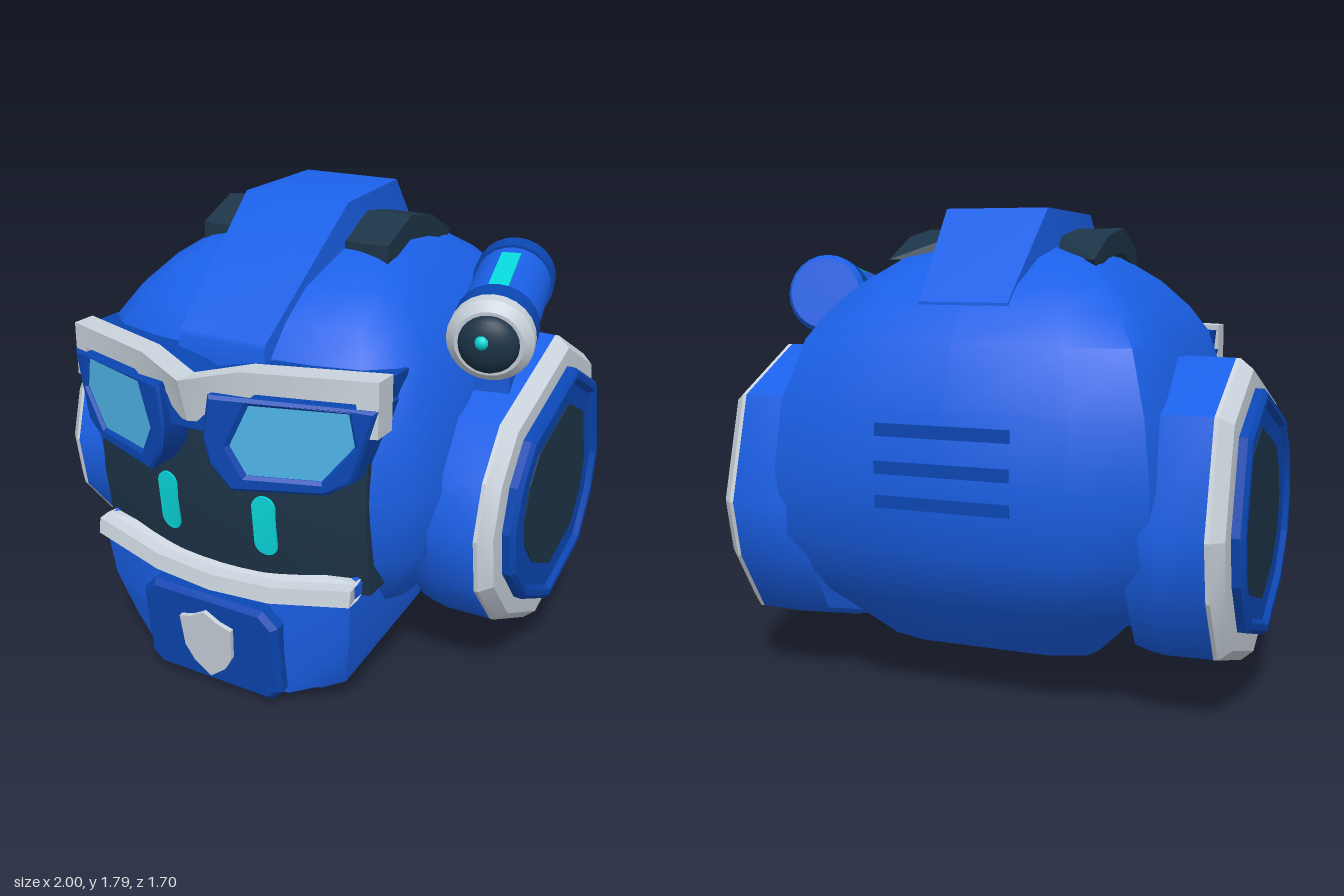
import * as THREE from 'three';
import { toCreasedNormals } from 'three/addons/utils/BufferGeometryUtils.js';

const mat = (name, color) => {
  const m = new THREE.MeshStandardMaterial({ color });
  m.name = name;
  return m;
};

// Skin over closed rings of [x, y, z], with fans closing both ends
function loft(rings, crease = 0.6) {
  const out = [];
  const n = rings[0].length;
  for (let j = 0; j < rings.length - 1; j++) {
    for (let i = 0; i < n; i++) {
      const k = (i + 1) % n;
      const a = rings[j][i], b = rings[j][k], c = rings[j + 1][k], d = rings[j + 1][i];
      out.push(...a, ...b, ...c, ...a, ...c, ...d);
    }
  }
  const cap = (ring, flip) => {
    const mid = [0, 1, 2].map(q => ring.reduce((s, p) => s + p[q], 0) / n);
    ring.forEach((p, i) => {
      const q = ring[(i + 1) % n];
      out.push(...mid, ...(flip ? q : p), ...(flip ? p : q));
    });
  };
  cap(rings[0], true);
  cap(rings[rings.length - 1], false);
  const g = new THREE.BufferGeometry();
  g.setAttribute('position', new THREE.Float32BufferAttribute(out, 3));
  return toCreasedNormals(g, crease);
}

// Completes a half ring (front centre, around +x, to the back) by mirroring in x
const fullRing = half => [...half, ...half.filter(p => p[0] > 0).reverse().map(([x, y, z]) => [-x, y, z])];

// Moves vertices by a rule and refreshes the normals
function warp(geo, rule) {
  const p = geo.attributes.position;
  for (let i = 0; i < p.count; i++) p.setXYZ(i, ...rule(p.getX(i), p.getY(i), p.getZ(i)));
  return toCreasedNormals(geo, 0.5);
}

// Mirror image in x, with the corner order put right
function mirrored(geo) {
  const g = geo.clone().scale(-1, 1, 1);
  for (const a of [g.attributes.position, g.attributes.normal]) {
    for (let i = 0; i < a.count; i += 3) {
      const first = [a.getX(i), a.getY(i), a.getZ(i)];
      a.setXYZ(i, a.getX(i + 1), a.getY(i + 1), a.getZ(i + 1));
      a.setXYZ(i + 1, ...first);
    }
  }
  return g;
}

const shapeOf = pts => new THREE.Shape(pts.map(p => new THREE.Vector2(...p)));
const extrude = (shape, depth, bevel = 0) => new THREE.ExtrudeGeometry(shape, {
  depth, bevelEnabled: bevel > 0, bevelSize: bevel, bevelThickness: bevel, bevelOffset: -bevel, bevelSegments: 1, curveSegments: 8,
});

export function createModel() {
  const model = new THREE.Group();
  const blue = mat('blue', 0x1a60e8), navy = mat('dark blue', 0x0a46b2), silver = mat('silver', 0xcad3dc);
  const dark = mat('charcoal', 0x1d3448), cyan = mat('cyan', 0x08d8dc), glass = mat('glass blue', 0x4fb2e6);
  const add = (name, geo, material, parent = model) => {
    const m = new THREE.Mesh(geo, material);
    m.name = name;
    parent.add(m);
    return m;
  };
  const addPair = (name, geo, material) => {
    add(name + 'Left', geo, material);
    add(name + 'Right', mirrored(geo), material);
  };

  // Head shell: one rounded outline, resized at each height [y, half width, front z, back z]
  const outline = [[0, 1], [0.25, 0.99], [0.5, 0.96], [0.76, 0.89], [0.9, 0.77], [0.97, 0.6], [1, 0.3],
    [1, -0.3], [0.98, -0.7], [0.92, -0.88], [0.6, -1], [0, -1]];
  const rows = [[0.17, 0.42, 0.3, -0.48], [0.38, 0.62, 0.5, -0.7], [0.6, 0.75, 0.6, -0.82], [0.85, 0.77, 0.64, -0.85],
    [1.1, 0.74, 0.63, -0.83], [1.32, 0.67, 0.56, -0.75], [1.42, 0.6, 0.48, -0.68], [1.52, 0.5, 0.36, -0.58],
    [1.61, 0.38, 0.14, -0.43], [1.65, 0.22, 0, -0.3]];
  add('headShell', loft(rows.map(([y, w, f, b]) => fullRing(outline.map(([u, v]) =>
    [u * w, y, (f + b) / 2 + v * (f - b) / 2]))), 0.7), blue);

  // Curved visor and the two light bars on it
  const onVisor = (x, y, z) => [x, y, z + 0.665 - 0.27 * x * x - 0.15 * Math.max(0, 0.75 - y)];
  add('visor', warp(new THREE.BoxGeometry(1.16, 0.75, 0.12, 14, 6, 1).translate(0, 0.86, -0.06), onVisor), dark);
  const bar = new THREE.Shape();
  bar.absarc(0, 0.075, 0.045, 0, Math.PI).absarc(0, -0.075, 0.045, Math.PI, Math.PI * 2);
  addPair('eyeBar', warp(extrude(bar, 0.02).translate(0.21, 0.715, -0.012), onVisor), cyan);

  // Chin guard, its trim, plate and shield
  add('chinGuard', loft([
    [[0, 0.2, -0.05], [0.3, 0.2, -0.05], [0.37, 0.2, -0.05], [0.45, 0.2, -0.06]],
    [[0, 0.05, 0.32], [0.3, 0.05, 0.32], [0.39, 0.06, 0.31], [0.46, 0.19, 0]],
    [[0, 0, 0.52], [0.3, 0, 0.52], [0.37, 0.01, 0.51], [0.47, 0.18, 0.02]],
    [[0, 0.04, 0.66], [0.3, 0.04, 0.64], [0.49, 0.1, 0.54], [0.54, 0.24, 0.03]],
    [[0, 0.25, 0.69], [0.3, 0.25, 0.67], [0.53, 0.3, 0.6], [0.57, 0.36, 0.05]],
    [[0, 0.45, 0.69], [0.28, 0.46, 0.675], [0.55, 0.54, 0.63], [0.59, 0.57, 0.05]],
    [[0, 0.46, 0.5], [0.28, 0.47, 0.5], [0.54, 0.57, 0.53], [0.55, 0.57, 0.05]],
  ].map(fullRing), 0.4), blue);
  const trimRow = (dy, dz) => fullRing([[0, 0.425 + dy, 0.71 + dz], [0.25, 0.435 + dy, 0.695 + dz],
    [0.56, 0.49 + dy, 0.655 + dz], [0.55, 0.49 + dy, 0.6 + dz], [0.5, 0.49 + dy, 0.45]]);
  add('chinTrim', loft([trimRow(0, -0.06), trimRow(0, 0), trimRow(0.06, -0.01), trimRow(0.065, -0.06)], 0.3), silver);

  const chinPlate = new THREE.Group();
  chinPlate.name = 'chinPlate';
  chinPlate.position.set(0, 0.22, 0.645);
  chinPlate.rotation.x = 0.12;
  model.add(chinPlate);
  add('plate', extrude(shapeOf([[-0.25, -0.2], [0.25, -0.2], [0.3, -0.15], [0.3, 0.14], [0.24, 0.2], [-0.24, 0.2],
    [-0.3, 0.14], [-0.3, -0.15]]), 0.05, 0.02), navy, chinPlate);
  add('shield', extrude(shapeOf([[0, -0.155], [0.07, -0.1], [0.105, -0.04], [0.115, 0.09], [0.06, 0.105], [0, 0.14],
    [-0.06, 0.105], [-0.115, 0.09], [-0.105, -0.04], [-0.07, -0.1]]), 0.02), silver, chinPlate).position.z = 0.068;

  // Swept-back goggles and brow; the brow's middle leans back at its lower edge
  const sweep = front => (x, y, z) => [x, y, z + front - 0.36 * Math.abs(x)];
  const lens = [[0.55, 1.215], [0.23, 1.22], [0.165, 1.07], [0.22, 0.965], [0.465, 0.965], [0.57, 1.1]];
  const frame = shapeOf([[0.64, 1.23], [0.1, 1.25], [0.08, 1.1], [0.1, 1.0], [0.17, 0.905], [0.48, 0.915], [0.57, 0.97]]);
  frame.holes.push(new THREE.Path(lens.map(p => new THREE.Vector2(...p))));
  addPair('goggleFrame', warp(extrude(frame, 0.15, 0.012), sweep(0.703)), navy);
  addPair('goggleGlass', warp(extrude(shapeOf(lens), 0.02), sweep(0.83)), glass);
  add('goggleBridge', new THREE.BoxGeometry(0.22, 0.11, 0.12).translate(0, 1.155, 0.73), navy);
  const browRule = (x, y, z) => [x, y, z + 0.75 - 0.36 * x - (x < 0.3 ? 0.4 * Math.max(0, 1.25 - y) : 0)];
  addPair('brow', warp(extrude(shapeOf([[0, 1.29], [0.2, 1.335], [0.64, 1.33], [0.64, 1.13], [0.58, 1.13],
    [0.57, 1.25], [0.25, 1.26], [0.1, 1.13], [0, 1.13]]), 0.1), browRule), silver);
  addPair('browBacking', warp(extrude(shapeOf([[0, 1.27], [0.2, 1.31], [0.63, 1.31], [0.61, 1.13], [0.5, 1.2],
    [0, 1.2]]), 0.15), sweep(0.61)), navy);

  // Crest ridge over the top: [z, y, half width]
  const crest = [[-0.65, 1.46, 0.17], [-0.63, 1.48, 0.17], [-0.34, 1.79, 0.2], [0.08, 1.775, 0.22], [0.58, 1.37, 0.18], [0.59, 1.35, 0.18]];
  add('crest', loft(crest.map(([z, y, w]) =>
    [[-w - 0.01, y - 0.2, z], [w + 0.01, y - 0.2, z], [w, y, z], [-w, y, z]]), 0.72), blue);

  // Arched vents beside the crest, cut at a slant behind
  const vent = extrude(shapeOf([[0.11, 1.64], [-0.07, 1.72], [-0.25, 1.69], [-0.42, 1.605], [-0.38, 1.57],
    [-0.25, 1.61], [-0.07, 1.63], [0.11, 1.56]]), 0.18).rotateY(-Math.PI / 2).translate(0.4, 0, 0);
  addPair('topVent', warp(vent, (x, y, z) => [x, y, z < -0.35 ? z + (0.4 - x) * 0.55 : z]), dark);

  // Side pods: an uneven polygon (z, y) about the pod centre
  const podOutline = [[0.53, -0.21], [0.36, -0.41], [0.03, -0.57], [-0.38, -0.44], [-0.52, -0.21], [-0.56, 0],
    [-0.45, 0.39], [-0.13, 0.555], [0.38, 0.37], [0.51, 0.2], [0.565, 0]];
  const pod = (crease, ...steps) => loft(steps.map(([x, s]) =>
    podOutline.map(([z, y]) => [x, 0.71 + y * s, -0.2 + z * s])), crease);
  addPair('podCup', pod(0.8, [0.61, 0.97], [0.67, 1], [0.72, 1.015], [0.89, 1.01]), blue);
  addPair('podRing', pod(0.35, [0.88, 1.01], [0.905, 1.01], [0.95, 0.94], [0.955, 0.8]), silver);
  addPair('podRim', pod(0.35, [0.93, 0.82], [0.985, 0.82], [1, 0.79], [1, 0.75], [0.98, 0.72], [0.975, 0.5]), navy);
  addPair('podFace', pod(0.35, [0.96, 0.57], [0.981, 0.57]).translate(0, 0, -0.015), dark);

  // Lamp on the left side, built along its own z axis
  const lamp = new THREE.Group();
  lamp.name = 'lamp';
  lamp.position.set(0.7, 1.475, -0.385);
  lamp.lookAt(0.845, 1.38, 0.22);
  model.add(lamp);
  const tube = (name, r0, r1, z0, z1, material) =>
    add(name, new THREE.CylinderGeometry(r1, r0, z1 - z0, 24).rotateX(Math.PI / 2).translate(0, 0, (z0 + z1) / 2), material, lamp);
  tube('lampBody', 0.142, 0.142, 0.02, 0.55, blue);
  tube('lampRearCap', 0.135, 0.152, 0, 0.025, blue);
  tube('lampRearBand', 0.152, 0.152, 0.025, 0.1, navy);
  tube('lampFrontBand', 0.152, 0.152, 0.46, 0.55, navy);
  tube('lampCollar', 0.153, 0.153, 0.55, 0.595, silver);
  tube('lampCollarBevel', 0.153, 0.12, 0.595, 0.625, silver);
  add('lampLens', new THREE.SphereGeometry(0.108, 20, 12).scale(1, 1, 0.6).translate(0, 0, 0.62), dark, lamp);
  add('lampSpark', new THREE.SphereGeometry(0.026, 10, 8).translate(-0.015, 0.028, 0.672), cyan, lamp);
  add('lampStrip', new THREE.BoxGeometry(0.07, 0.012, 0.31).translate(0, 0.14, 0.315), cyan, lamp);
  add('lampBracket', new THREE.BoxGeometry(0.13, 0.14, 0.4).translate(0, -0.16, 0.34), blue, lamp);

  // Slots across the back
  [[0.78, -0.842], [0.9, -0.846], [1.03, -0.836]].forEach(([y, z]) =>
    add('backSlot', new THREE.BoxGeometry(0.5, 0.045, 0.02).translate(0, y, z + 0.005), navy));

  return model;
}
